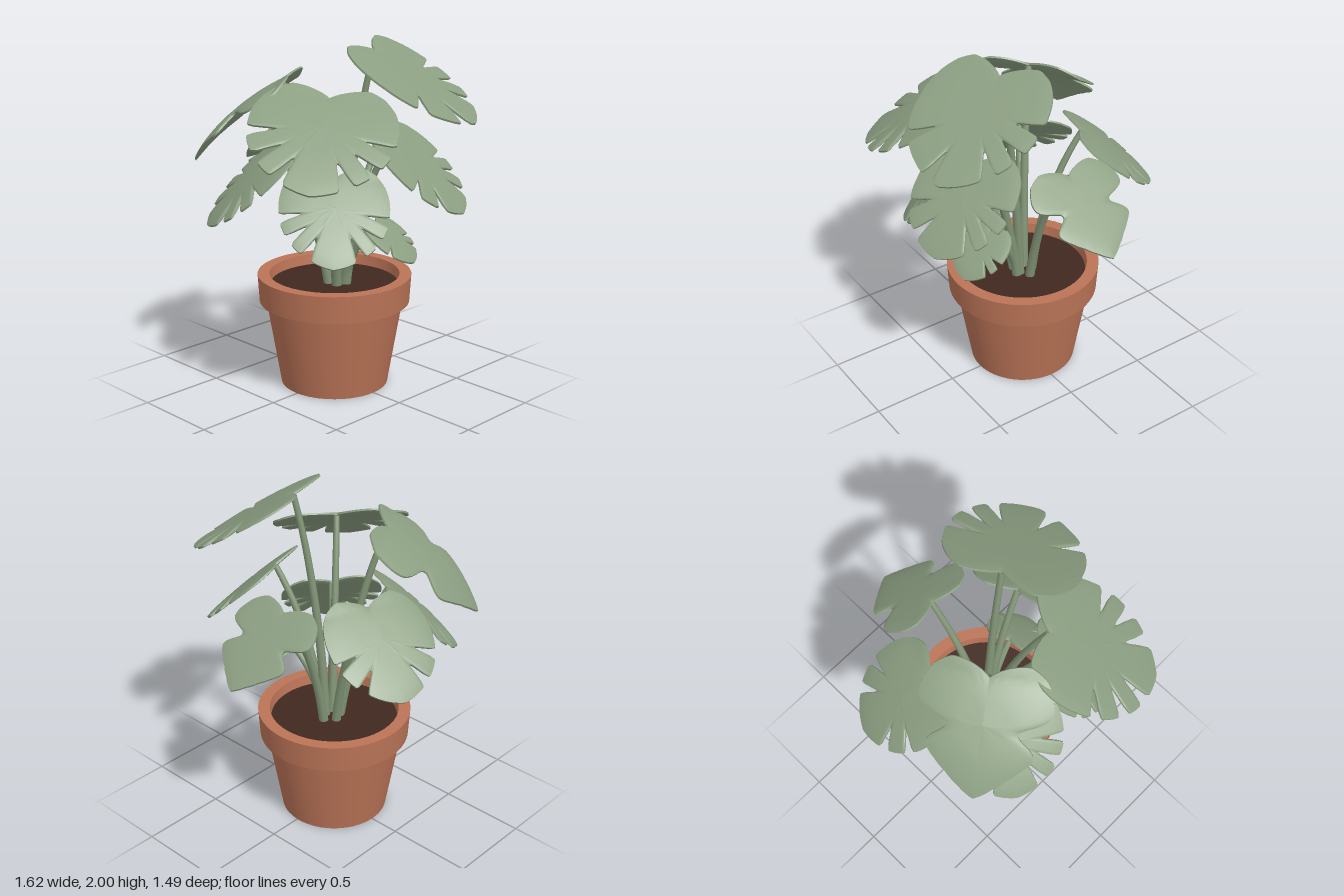
import * as THREE from 'three';
import { toCreasedNormals } from 'three/addons/utils/BufferGeometryUtils.js';

const V = (x, y, z) => new THREE.Vector3(x, y, z);
const mat = (name, color, side = THREE.FrontSide) => {
  const m = new THREE.MeshStandardMaterial({ color, side });
  m.name = name;
  return m;
};

// Outline radius at control angles (degrees from the tip), for a leaf of length 1
const BIG = [[0, 0.65], [30, 0.59], [60, 0.56], [90, 0.55], [105, 0.56], [120, 0.575], [135, 0.58], [148, 0.56], [165, 0.44], [180, 0.35]];
const ARROW = [[0, 0.65], [15, 0.56], [30, 0.51], [45, 0.5], [58, 0.51], [85, 0.53], [110, 0.59], [128, 0.6], [145, 0.57], [165, 0.44], [180, 0.35]];
const CENTRE = 0.35; // outline centre along the midrib

function outline(profile, slits, deg) {
  const a = Math.abs(deg);
  let i = 0;
  while (i < profile.length - 2 && a > profile[i + 1][0]) i++;
  const [a0, r0] = profile[i], [a1, r1] = profile[i + 1];
  let r = r0 + ((r1 - r0) * (a - a0)) / (a1 - a0);
  for (const [at, depth, width] of slits) r *= 1 - depth * Math.exp(-Math.pow(Math.abs(deg - at) / width, 3));
  return r;
}

// Thick curved leaf blade: two skins of concentric rings and a rim
function leafGeometry({ base, tip, profile, slits, droop, arch, roll, width }) {
  const N = 200, RINGS = 7, length = base.distanceTo(tip);
  const axis = tip.clone().sub(base).normalize();
  const side = V(0, 1, 0).cross(axis).normalize().applyAxisAngle(axis, roll);
  const normal = axis.clone().cross(side);
  const pos = [], index = [];
  const point = (t, k, s) => {
    const deg = -180 + (360 * k) / N, th = THREE.MathUtils.degToRad(deg);
    const r = t * outline(profile, slits, deg);
    const u = CENTRE + r * Math.cos(th), v = width * r * Math.sin(th);
    const half = 0.012 * Math.sqrt(1 - 0.8 * t ** 6);
    const h = length * (arch * Math.max(u, 0) * (1 - u) - droop * v * v) + s * half;
    const p = base.clone().addScaledVector(axis, u * length)
      .addScaledVector(side, v * length).addScaledVector(normal, h);
    pos.push(p.x, p.y, p.z);
  };
  const strip = (rows, flip) => {
    const start = pos.length / 3;
    rows.forEach(([t, s]) => { for (let k = 0; k < N; k++) point(t, k, s); });
    for (let j = 0; j < rows.length - 1; j++) for (let k = 0; k < N; k++) {
      const a = start + j * N + k, b = start + j * N + (k + 1) % N, c = a + N, d = b + N;
      if (flip) index.push(a, d, c, a, b, d);
      else index.push(a, c, d, a, d, b);
    }
  };
  const ts = Array.from({ length: RINGS + 1 }, (_, j) => Math.max(0.001, Math.sqrt(j / RINGS)));
  strip(ts.map(t => [t, 1]), false);
  strip(ts.map(t => [t, -1]), true);
  strip([[1, 1], [1, -1]], false);
  const g = new THREE.BufferGeometry();
  g.setAttribute('position', new THREE.Float32BufferAttribute(pos, 3));
  g.setIndex(index);
  g.computeVertexNormals();
  return g;
}

// Tapered bending stem from the soil to the leaf base
function stemGeometry(base) {
  const curve = new THREE.QuadraticBezierCurve3(
    V(0.01 + base.x * 0.16, 0.57, base.z * 0.15),
    V(base.x * 0.38, 0.57 + (base.y - 0.57) * 0.6, base.z * 0.34),
    base.clone().add(V(0, -0.008, 0)));
  const SEG = 14, SIDES = 10;
  const g = new THREE.TubeGeometry(curve, SEG, 0.028, SIDES, false);
  const p = g.attributes.position, v = V(0, 0, 0);
  for (let i = 0; i < p.count; i++) {
    const t = Math.floor(i / (SIDES + 1)) / SEG, c = curve.getPointAt(t);
    v.fromBufferAttribute(p, i).sub(c).multiplyScalar(1 - 0.4 * t).add(c);
    p.setXYZ(i, v.x, v.y, v.z);
  }
  return g;
}

export function createModel() {
  const model = new THREE.Group();
  model.name = 'pottedPlant';
  const leafMat = mat('leaf green', 0x8c9f82);
  const stemMat = mat('stem green', 0x829577, THREE.DoubleSide);
  const potMat = mat('terracotta', 0xbb7457);
  const soilMat = mat('soil brown', 0x40281f);
  const add = (parent, name, geometry, material) => {
    const m = new THREE.Mesh(geometry, material);
    m.name = name;
    parent.add(m);
    return m;
  };

  // Pot with a heavy rim, and soil inside
  const pot = new THREE.Group();
  pot.name = 'pot';
  pot.position.set(-0.005, 0, -0.01);
  model.add(pot);
  const profile = [[0, 0], [0.31, 0], [0.393, 0.495], [0.432, 0.495], [0.442, 0.655],
    [0.374, 0.655], [0.362, 0.56], [0, 0.56]].map(([x, y]) => new THREE.Vector2(x, y));
  add(pot, 'potShell', toCreasedNormals(new THREE.LatheGeometry(profile, 64), 0.6), potMat);
  add(pot, 'soil', new THREE.CylinderGeometry(0.368, 0.362, 0.03, 64), soilMat).position.y = 0.58;

  // Leaves: stem joint, tip, outline and slits
  const slit = (...degs) => degs.map(d => [d, 0.4, 4]);
  const both = slit(27, 52, 78, -27, -52, -78);
  const notch = [[82, 0.42, 13], [-82, 0.42, 13]];
  const leaves = [
    { name: 'topLeaf', base: V(0.09, 1.945, 0.2), tip: V(0.32, 1.58, 0.73), slits: slit(36, 62, 90, -12, -54), droop: 0.02, arch: 0.03, roll: 0.04 },
    { name: 'frontMiddleLeaf', base: V(0.1, 1.485, 0.34), tip: V(0.24, 1.1, 0.73), slits: slit(34, 60, 86, -30, -62), droop: 0.04, arch: 0.06 },
    { name: 'frontSmallLeaf', base: V(0.06, 0.985, 0.25), tip: V(0.13, 0.79, 0.48), slits: slit(45, 72, -55), droop: 0.06 },
    { name: 'leftLeaf', base: V(0.4, 1.42, -0.02), tip: V(0.8, 1.12, -0.02), profile: ARROW, slits: notch, droop: 0.06, arch: 0.06 },
    { name: 'frontRightUpperLeaf', base: V(-0.25, 1.72, 0.2), tip: V(-0.74, 1.34, 0.55), slits: slit(25, 50, 76, -25, -51, -80), droop: 0.06, roll: 0.13 },
    { name: 'frontRightLowerLeaf', base: V(-0.24, 1.29, 0.23), tip: V(-0.5, 0.89, 0.48), slits: both, roll: 0.08 },
    { name: 'backLeaf', base: V(0.09, 1.45, -0.34), tip: V(0.23, 1.09, -0.73), slits: slit(-40, -72, 30, 62) },
    { name: 'backRightUpperLeaf', base: V(-0.22, 1.77, -0.2), tip: V(-0.51, 1.3, -0.62), profile: ARROW, slits: notch, droop: 0.25, arch: 0.28, width: 0.9 },
    { name: 'backRightLowerLeaf', base: V(-0.27, 1.38, -0.17), tip: V(-0.62, 0.98, -0.39), slits: both },
  ];
  const shared = { profile: BIG, droop: 0.12, arch: 0.12, roll: 0, width: 1 };
  for (const leaf of leaves) {
    const g = new THREE.Group();
    g.name = leaf.name;
    // positive roll lowers the +side edge, so it is negated for the turn about the midrib
    add(g, 'leafBlade', leafGeometry({ ...shared, ...leaf, roll: leaf.name === 'topLeaf' ? leaf.roll : -(leaf.roll ?? 0) }), leafMat);
    add(g, 'leafStem', stemGeometry(leaf.base), stemMat);
    model.add(g);
  }
  return model;
}
